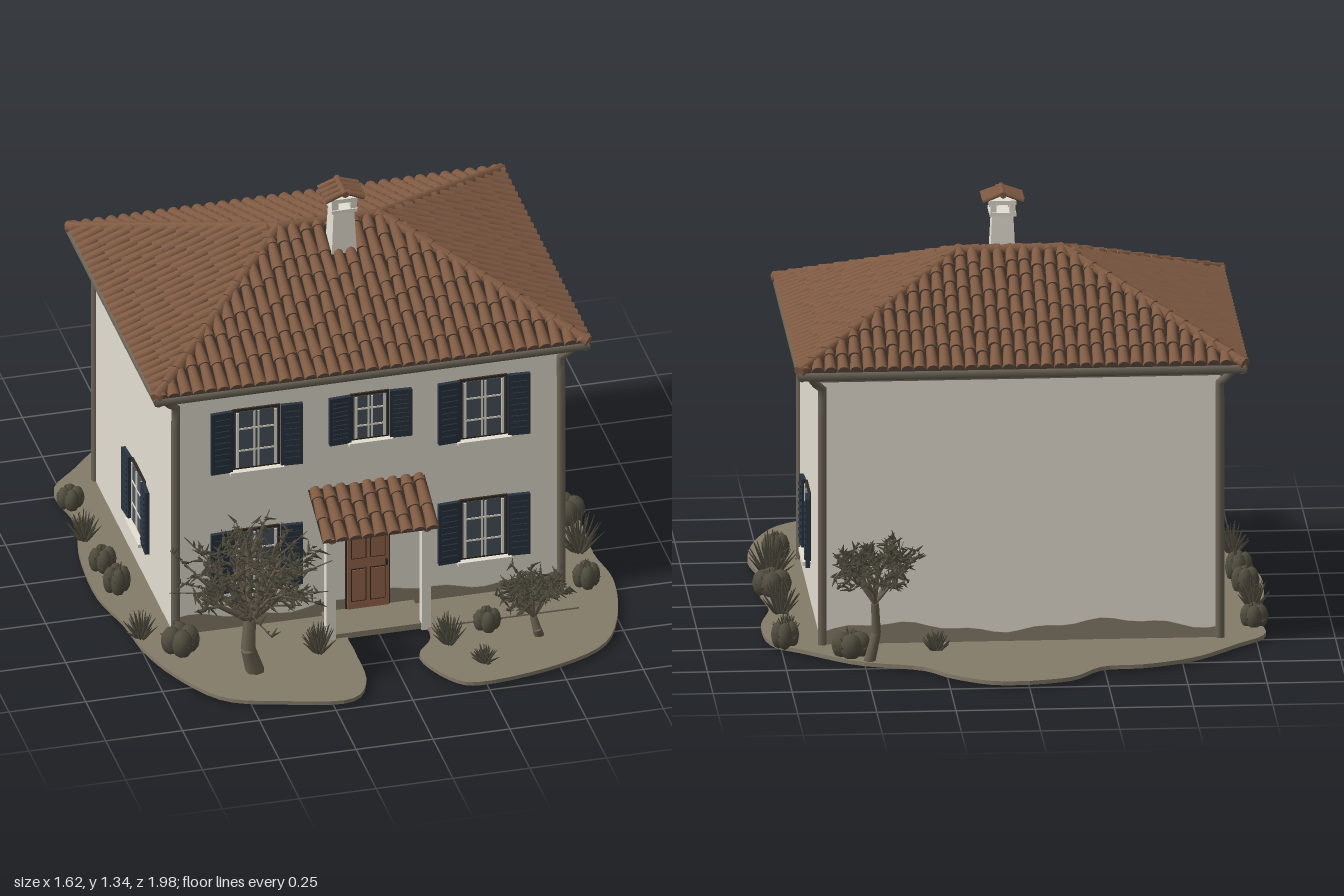
import * as THREE from 'three';
import { mergeGeometries } from 'three/addons/utils/BufferGeometryUtils.js';

const mat = (name, color, side = THREE.FrontSide) => {
  const m = new THREE.MeshStandardMaterial({ color, side });
  m.name = name;
  return m;
};
const plaster = mat('cream plaster', 0xe4dfd2), soil = mat('dry soil', 0x857c6a);
const tile = mat('clay tile', 0x805b43, THREE.DoubleSide), dark = mat('dark joint', 0x352a22, THREE.DoubleSide);
const navy = mat('navy shutter', 0x283440), glass = mat('window glass', 0x4a535c);
const wood = mat('door wood', 0x96664a), leaf = mat('dusty leaf', 0x524e40, THREE.DoubleSide);
const bark = mat('bark', 0x6a6050), metal = mat('weathered metal', 0x6c6557);

let seed = 7;
const rnd = (a, b) => {
  seed = (seed * 16807) % 2147483647;
  return a + (b - a) * seed / 2147483647;
};
const V = (x, y, z) => new THREE.Vector3(x, y, z);

function add(parent, name, geo, material, x = 0, y = 0, z = 0) {
  const m = new THREE.Mesh(geo, material);
  m.name = name;
  m.position.set(x, y, z);
  parent.add(m);
  return m;
}
const box = (p, name, m, w, h, d, x, y, z) => add(p, name, new THREE.BoxGeometry(w, h, d), m, x, y, z);
function group(parent, name, x = 0, y = 0, z = 0, ry = 0) {
  const g = new THREE.Group();
  g.name = name;
  g.position.set(x, y, z);
  g.rotation.y = ry;
  parent.add(g);
  return g;
}
// Tapered rod between two points
function rod(a, b, r0, r1, sides = 4) {
  const d = b.clone().sub(a), g = new THREE.CylinderGeometry(r1, r0, d.length(), sides);
  g.applyQuaternion(new THREE.Quaternion().setFromUnitVectors(V(0, 1, 0), d.normalize()));
  return g.translate(...a.clone().add(b).multiplyScalar(0.5).toArray());
}
// Row of overlapping cap tiles between two points
function capRow(a, b) {
  const n = Math.round(a.distanceTo(b) / 0.07);
  return Array.from({ length: n }, (_, i) => rod(a.clone().lerp(b, i / n), a.clone().lerp(b, (i + 1.1) / n), 0.02, 0.015, 7));
}

// Tiled slope: x along the eave, tilted so that local y climbs the roof
function tiledSlope(parent, name, half, topHalf, run, rise, pitch, rowLength) {
  const len = Math.hypot(run, rise), g = group(parent, name);
  g.rotation.x = -(Math.PI / 2 - Math.atan2(rise, run));
  const s = new THREE.Shape([[-half, 0], [half, 0], [topHalf, len], [-topHalf, len]].map(p => new THREE.Vector2(...p)));
  add(g, 'roofDeck', new THREE.ShapeGeometry(s), dark);
  const n = Math.round(2 * half / pitch), step = 2 * half / n, tiles = [];
  for (let i = 0; i < n; i++) {
    const u = -half + (i + 0.5) * step;
    const end = half === topHalf ? len : len * Math.min(1, (half - Math.abs(u)) / (half - topHalf));
    for (let y = 0; y < end - 0.005;) {
      const l = Math.min(rowLength * rnd(0.75, 1.25), end - y);
      const t = new THREE.CylinderGeometry(step * 0.36, step * 0.5, l, 6, 1, true, -Math.PI / 2, Math.PI);
      tiles.push(t.rotateZ(rnd(-0.04, 0.04)).translate(u, y + l / 2, 0.002));
      y += l;
    }
  }
  add(g, 'roofTiles', mergeGeometries(tiles), tile);
}

// Casement window with open shutters, facing +z
function windowUnit(parent, x, y, z, h, ry = 0, w = 0.3) {
  const g = group(parent, 'window', x, y, z, ry), gw = w - 0.145;
  box(g, 'windowSurround', dark, gw, h, 0.008, 0, 0, 0.002);
  box(g, 'pane', glass, gw - 0.014, h - 0.016, 0.006, 0, 0, 0.005);
  for (const s of [-1, 1]) {
    box(g, 'casementStile', plaster, 0.009, h - 0.02, 0.008, s * (gw / 2 - 0.016), 0, 0.007);
    box(g, 'centreStile', plaster, 0.006, h - 0.02, 0.008, s * 0.006, 0, 0.007);
    box(g, 'glazingBar', plaster, gw - 0.03, 0.006, 0.008, 0, s * h * 0.18, 0.006);
    const sh = group(g, 'shutter', s * (w / 2 - 0.036), 0, 0.012, -s * 0.06);
    box(sh, 'shutterLeaf', navy, 0.071, h, 0.014, 0, 0, 0);
    for (let k = -4; k <= 4; k++) box(sh, 'louvre', navy, 0.05, 0.008, 0.006, 0, k * h * 0.095, 0.008);
  }
  box(g, 'sill', plaster, gw + 0.02, 0.012, 0.03, 0, -h / 2 - 0.004, 0.012);
}

// Branching shrub whose crown fills an ellipsoid
function tree(parent, x, z, trunkTop, cy, rx, ry, rz, r, branches) {
  const g = group(parent, 'tree', x, 0, z), fork = V(0, trunkTop, 0), leaves = [];
  const bend = V(rnd(-0.02, 0.03), trunkTop * 0.5, 0.01);
  const rods = [rod(V(0.02, 0, 0), bend, r * 1.3, r, 7), rod(bend, fork, r, r * 0.85, 7)];
  for (let i = 0; i < branches; i++) {
    const a = i * 2.4, e = Math.sin(rnd(-0.6, 1.4)), c = Math.sqrt(1 - e * e), q = rnd(0.5, 0.8);
    const tip = V(Math.cos(a) * c * rx * q, cy + e * ry * q, Math.sin(a) * c * rz * q);
    rods.push(rod(fork, tip, r * 0.5, r * 0.2, 5));
    for (let k = 0; k < 9; k++) {
      const from = fork.clone().lerp(tip, rnd(0.5, 1));
      const to = tip.clone().add(V(rnd(-1, 1) * rx * 0.45, rnd(-0.8, 1) * ry * 0.5, rnd(-1, 1) * rz * 0.45));
      rods.push(rod(from, to, r * 0.18, r * 0.08, 3));
      for (let j = 0; j < 6; j++) {
        const b = from.clone().lerp(to, rnd(0.4, 1));
        const d = V(rnd(-1, 1), rnd(-0.6, 1), rnd(-1, 1)).normalize().multiplyScalar(rnd(0.02, 0.04));
        leaves.push(rod(b, b.clone().add(d), 0.006, 0.001, 3));
      }
    }
  }
  add(g, 'branches', mergeGeometries(rods), bark);
  add(g, 'leaves', mergeGeometries(leaves), leaf);
}

// Tuft of blades, optionally around a rounded clump
function shrub(parent, x, z, r, h, round) {
  const g = group(parent, round ? 'roundBush' : 'grassTuft', x, 0.01, z), blades = [];
  for (let i = 0; i < 34; i++) {
    const a = i * 2.4, lean = Math.sqrt((i + 0.5) / 34);
    const d = V(Math.cos(a) * r * lean, h * (1.05 - 0.6 * lean * lean) * rnd(0.75, 1.05), Math.sin(a) * r * lean);
    blades.push(rod(round ? d.clone().multiplyScalar(0.65) : V(d.x * 0.2, 0, d.z * 0.2), d, 0.007, 0.001, 3));
  }
  add(g, 'blades', mergeGeometries(blades), leaf);
  for (let i = 0; round && i < 4; i++) {
    const c = add(g, 'clump', new THREE.IcosahedronGeometry(1, 1), leaf, Math.cos(i * 1.6) * r * 0.4, h * 0.4, Math.sin(i * 1.6) * r * 0.4);
    c.scale.set(r * 0.5, h * 0.5, r * 0.5);
  }
}

export function createModel() {
  seed = 7;
  const root = new THREE.Group();
  root.name = 'countryHouse';

  // Garden plot with an entrance gap at the front
  const outline = [[0, -1], [0.12, -0.99], [0.24, -0.91], [0.33, -0.81], [0.52, -0.74], [0.68, -0.6], [0.78, -0.5], [0.8, -0.3],
    [0.76, -0.1], [0.78, 0.1], [0.77, 0.3], [0.79, 0.47], [0.75, 0.68], [0.66, 0.85], [0.48, 0.94], [0.25, 0.98], [0.15, 0.94],
    [0.08, 0.78], [0.14, 0.68], [0.14, 0.58], [0.02, 0.56], [-0.1, 0.58], [-0.11, 0.7], [-0.12, 0.88], [-0.2, 0.98], [-0.4, 0.94],
    [-0.58, 0.87], [-0.69, 0.7], [-0.75, 0.52], [-0.77, 0.35], [-0.81, 0.15], [-0.8, -0.1], [-0.76, -0.3], [-0.78, -0.5],
    [-0.68, -0.62], [-0.54, -0.76], [-0.38, -0.83], [-0.24, -0.85], [-0.14, -0.96], [0, -1]];
  const curve = new THREE.SplineCurve(outline.map(([x, z]) => new THREE.Vector2(x, -z)));
  const plot = new THREE.ExtrudeGeometry(new THREE.Shape(curve.getPoints(160)), { depth: 0.013, bevelEnabled: false });
  add(root, 'ground', plot.rotateX(-Math.PI / 2), soil);
  box(root, 'frontPaving', soil, 0.46, 0.012, 0.17, 0.41, 0.013, 0.535);

  // Walls with an uneven worn base at front and back
  const house = group(root, 'house', -0.005, 0, -0.0375), wx = 0.63, wz = 0.4925;
  box(house, 'walls', plaster, 2 * wx, 0.88, 2 * wz, 0, 0.445, 0);
  for (const s of [-1, 1]) {
    const sh = new THREE.Shape().moveTo(-wx, 0.01).lineTo(wx, 0.01);
    for (let x = wx; x > -wx - 0.01; x -= wx / 15) sh.lineTo(x, 0.062 + 0.016 * Math.sin(x * 9 + s) + 0.006 * Math.sin(x * 31));
    const base = new THREE.ExtrudeGeometry(sh, { depth: 0.004, bevelEnabled: false });
    add(house, 'wornBase', base, soil, 0, 0, s * wz).rotation.y = s > 0 ? 0 : Math.PI;
  }

  // Hipped roof with gutters, caps and downpipes
  const hx = 0.705, hz = 0.55, rh = 0.165, eave = 0.917, rise = 0.238, top = eave + rise;
  for (let i = 0; i < 4; i++) {
    const [half, out, topHalf, run] = i % 2 ? [hz, hx, 0, hx - rh] : [hx, hz, rh, hz];
    const p = group(house, 'roofSide', 0, eave, 0, i * Math.PI / 2);
    tiledSlope(group(p, 'roofSlope', 0, 0, out), 'slope', half, topHalf, run, rise, 0.04, 0.09);
    add(p, 'gutter', new THREE.CylinderGeometry(0.017, 0.017, half * 2, 8), metal, 0, -0.013, out - 0.01).rotation.z = Math.PI / 2;
  }
  const caps = capRow(V(-rh, top, 0), V(rh, top, 0));
  for (const s of [-1, 1]) for (const t of [-1, 1]) {
    caps.push(...capRow(V(s * hx, eave + 0.004, t * hz), V(s * rh, top, 0)));
    const x = s * (wx - 0.002), z = t * (wz + 0.006);
    const path = new THREE.CatmullRomCurve3([V(s * 0.67, 0.9, t * 0.53), V(s * 0.66, 0.88, t * 0.52), V(x, 0.85, z), V(x, 0.8, z), V(x, 0.4, z), V(x, 0.01, z)]);
    add(house, 'downpipe', new THREE.TubeGeometry(path, 24, 0.014, 7), metal);
  }
  add(house, 'ridgeCaps', mergeGeometries(caps), tile);
  box(house, 'soffit', metal, 1.38, 0.016, 1.07, 0, 0.9, 0);
  box(house, 'cornice', metal, 1.3, 0.02, 1.025, 0, 0.885, 0);

  // Chimney with open lantern and small tiled gable
  const ch = group(root, 'chimney', 0.015, 0, 0.045);
  const stack = new THREE.CylinderGeometry(0.047, 0.061, 0.2, 4).rotateY(Math.PI / 4).toNonIndexed();
  stack.computeVertexNormals();
  add(ch, 'chimneyStack', stack, plaster, 0, 1.155, 0);
  box(ch, 'chimneyCollar', plaster, 0.084, 0.012, 0.092, 0, 1.257, 0);
  for (const s of [-1, 1]) {
    for (const t of [-1, 1]) box(ch, 'lanternPost', plaster, 0.02, 0.035, 0.02, s * 0.03, 1.275, t * 0.032);
    tiledSlope(group(ch, 'chimneyRoofSide', s * 0.062, 1.297, 0, s * Math.PI / 2), 'chimneyRoof', 0.054, 0.054, 0.062, 0.026, 0.027, 0.07);
  }
  box(ch, 'lanternTop', plaster, 0.084, 0.014, 0.09, 0, 1.295, 0);
  add(ch, 'chimneyRidge', rod(V(0, 1.323, -0.056), V(0, 1.323, 0.056), 0.011, 0.011, 7), tile);

  // Windows
  const fz = 0.456;
  for (const x of [-0.37, 0.37]) for (const y of [0.26, 0.7]) windowUnit(root, x, y, fz, 0.22);
  windowUnit(root, 0, 0.725, fz, 0.17, 0, 0.27);
  windowUnit(root, 0.626, 0.26, 0.024, 0.225, Math.PI / 2);
  windowUnit(root, -0.636, 0.26, 0.024, 0.225, -Math.PI / 2);

  // Panelled front door and step
  const door = group(root, 'frontDoor', -0.007, 0, fz);
  box(door, 'doorOutline', dark, 0.146, 0.33, 0.008, 0, 0.19, 0.002);
  box(door, 'doorLeaf', wood, 0.136, 0.322, 0.012, 0, 0.188, 0.005);
  for (const y of [0.115, 0.27]) for (const s of [-1, 1]) {
    box(door, 'panelGroove', dark, 0.05, 0.12, 0.004, s * 0.031, y, 0.0105);
    box(door, 'doorPanel', wood, 0.044, 0.112, 0.006, s * 0.031, y, 0.012);
  }
  box(door, 'doorHandle', dark, 0.006, 0.02, 0.012, 0.058, 0.19, 0.016);
  box(door, 'doorStep', soil, 0.3, 0.02, 0.15, 0, 0.018, 0.075);

  // Porch
  const porch = group(root, 'porch', -0.01, 0, 0);
  tiledSlope(group(porch, 'porchRoof', 0, 0.388, 0.642), 'porchSlope', 0.19, 0.19, 0.188, 0.09, 0.042, 0.075);
  for (const s of [-1, 1]) {
    box(porch, 'porchPost', plaster, 0.03, 0.37, 0.03, s * 0.155, 0.19, 0.597);
    add(porch, 'porchRafter', rod(V(s * 0.155, 0.382, 0.63), V(s * 0.155, 0.462, 0.455), 0.013, 0.013, 6), wood);
  }
  box(porch, 'porchBeam', wood, 0.36, 0.022, 0.024, 0, 0.382, 0.6);

  // Trees, grass tufts and round bushes
  tree(root, -0.46, 0.73, 0.2, 0.35, 0.24, 0.16, 0.19, 0.024, 17);
  tree(root, 0.46, 0.74, 0.08, 0.14, 0.15, 0.09, 0.13, 0.014, 10);
  tree(root, 0.47, -0.73, 0.2, 0.31, 0.15, 0.12, 0.12, 0.015, 11);
  for (const t of [[-0.22, 0.67, 0.06, 0.12], [0.19, 0.72, 0.06, 0.12], [0.27, 0.86, 0.05, 0.06], [0.73, 0.27, 0.09, 0.15], [0.73, -0.16, 0.07, 0.12],
    [-0.76, -0.19, 0.06, 0.11], [-0.74, 0.44, 0.06, 0.1], [0.27, -0.62, 0.05, 0.07], [0.73, -0.42, 0.05, 0.08]]) shrub(root, ...t, false);
  for (const b of [[0.74, 0.07, 0.07, 0.09], [0.7, 0.48, 0.05, 0.09], [0.74, -0.53, 0.05, 0.09], [0.54, -0.66, 0.07, 0.09], [-0.64, 0.55, 0.07, 0.1],
    [-0.75, 0, 0.05, 0.09], [-0.74, 0.14, 0.05, 0.1], [-0.75, -0.4, 0.05, 0.08], [0.33, 0.66, 0.05, 0.08]]) shrub(root, ...b, true);
  return root;
}
